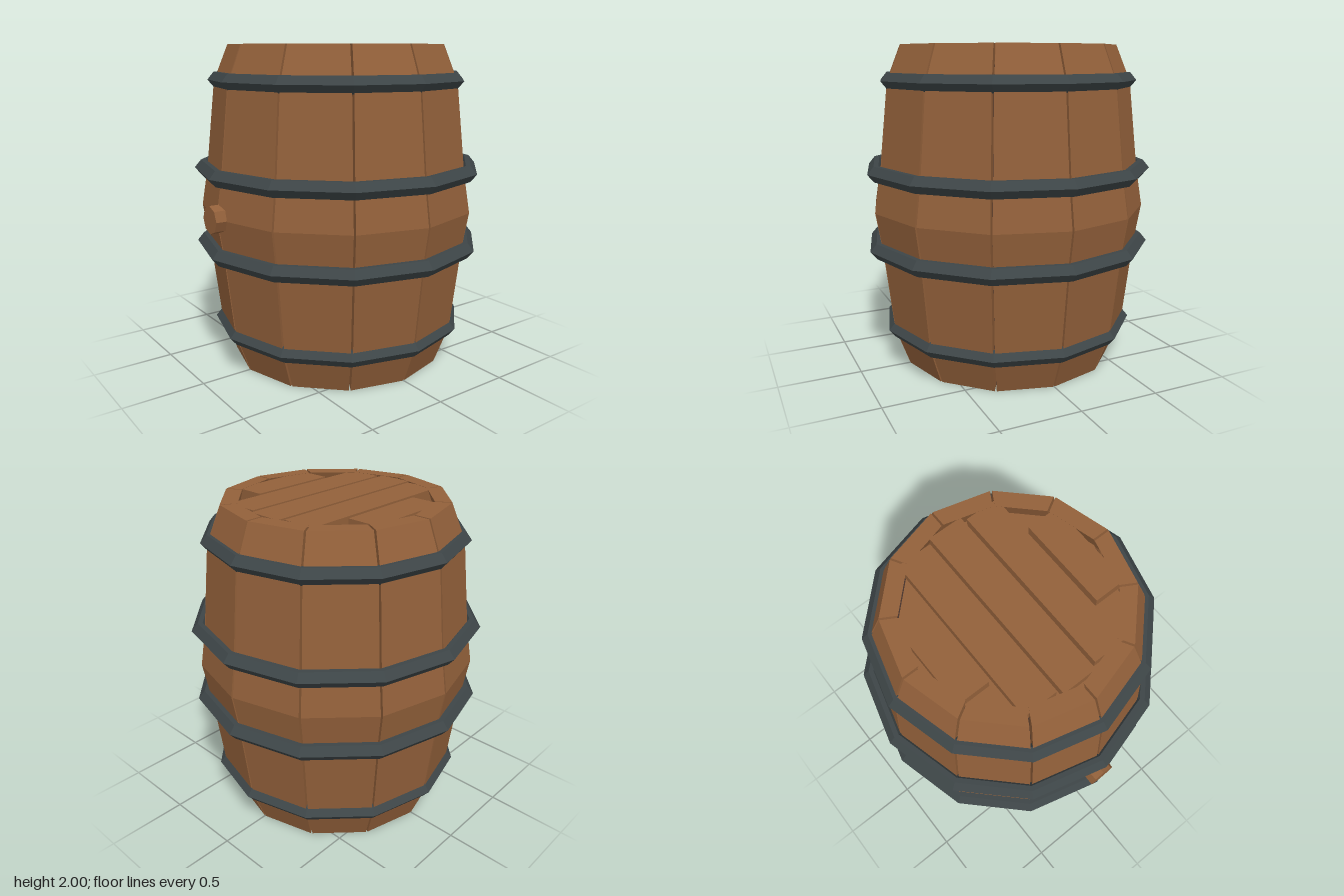
import * as THREE from 'three';

const SIDES = 12;
const STEP = (Math.PI * 2) / SIDES;
const GAP = 0.006; // half the slit between two staves
const WALL = 0.1;

// Height and outer radius of the barrel wall
const PROFILE = [
  [0, 0.68], [0.24, 0.77], [0.76, 0.83], [1, 0.87], [1.24, 0.83], [1.78, 0.77], [2, 0.68],
];

const wood = new THREE.MeshStandardMaterial({ color: 0x92603a });
wood.name = 'wood';
const iron = new THREE.MeshStandardMaterial({ color: 0x3d4547 });
iron.name = 'iron';
const darkWood = new THREE.MeshStandardMaterial({ color: 0x48332a });
darkWood.name = 'darkWood';

function addFlat(parent, name, geometry, material) {
  const flat = geometry.index ? geometry.toNonIndexed() : geometry;
  flat.computeVertexNormals();
  const mesh = new THREE.Mesh(flat, material);
  mesh.name = name;
  parent.add(mesh);
  return mesh;
}

// Solid through four-cornered rings, listed from bottom to top
function loft(rings) {
  const index = [];
  const last = (rings.length - 1) * 4;
  for (let i = 0; i < last; i += 4) {
    for (let j = 0; j < 4; j++) {
      const a = i + j;
      const b = i + ((j + 1) % 4);
      index.push(a, b, b + 4, a, b + 4, a + 4);
    }
  }
  index.push(0, 2, 1, 0, 3, 2, last, last + 1, last + 2, last, last + 2, last + 3);
  const geometry = new THREE.BufferGeometry();
  geometry.setAttribute('position', new THREE.Float32BufferAttribute(rings.flat(2), 3));
  geometry.setIndex(index);
  return geometry;
}

// Point on a seam, pushed sideways to leave the slit open
function seamPoint(angle, radius, y, shift) {
  const s = Math.sin(angle);
  const c = Math.cos(angle);
  return [radius * s + shift * c, y, radius * c - shift * s];
}

function staveGeometry(start) {
  const end = start + STEP;
  return loft(PROFILE.map(([y, r]) => [
    seamPoint(start, r, y, GAP),
    seamPoint(end, r, y, -GAP),
    seamPoint(end, r - WALL, y, -GAP),
    seamPoint(start, r - WALL, y, GAP),
  ]));
}

// Six-sided band section swept round the barrel
function hoopGeometry(r) {
  const section = [
    [r - 0.1, 0], [r - 0.07, -0.048], [r - 0.04, -0.048], [r, 0],
    [r - 0.04, 0.048], [r - 0.07, 0.048], [r - 0.1, 0],
  ].map(([x, y]) => new THREE.Vector2(x, y));
  return new THREE.LatheGeometry(section, SIDES);
}

export function createModel() {
  const barrel = new THREE.Group();
  barrel.name = 'barrel';

  // Curved staves
  const staves = new THREE.Group();
  staves.name = 'staves';
  barrel.add(staves);
  for (let i = 0; i < SIDES; i++) addFlat(staves, 'stave', staveGeometry(i * STEP), wood);

  // Iron hoops
  const hoops = new THREE.Group();
  hoops.name = 'hoops';
  barrel.add(hoops);
  for (const [y, r] of [[0.24, 0.81], [0.763, 0.91], [1.24, 0.91], [1.787, 0.81]]) {
    addFlat(hoops, 'hoop', hoopGeometry(r), iron).position.y = y;
  }

  // Dark core closing the bottom and the slits
  const core = new THREE.CylinderGeometry(0.61, 0.61, 1.88, SIDES);
  addFlat(barrel, 'core', core, darkWood).position.y = 0.945;

  // Lid: a recessed board with five planks on it
  const lid = new THREE.Group();
  lid.name = 'lid';
  barrel.add(lid);
  const board = new THREE.CylinderGeometry(0.59, 0.59, 0.05, SIDES);
  addFlat(lid, 'lidBoard', board, wood).position.y = 1.91;
  for (const [x, width, length] of [
    [0, 0.21, 1.12], [0.228, 0.205, 1.06], [-0.228, 0.205, 1.06],
    [0.453, 0.195, 0.56], [-0.453, 0.195, 0.56],
  ]) {
    const plank = new THREE.BoxGeometry(width, 0.08, length);
    addFlat(lid, 'lidPlank', plank, wood).position.set(x, 1.959, 0);
  }

  // Bung on the front
  const bung = new THREE.CylinderGeometry(0.085, 0.085, 0.115, 8);
  bung.rotateX(Math.PI / 2);
  addFlat(barrel, 'bung', bung, wood).position.set(0, 1.003, 0.8575);

  return barrel;
}
